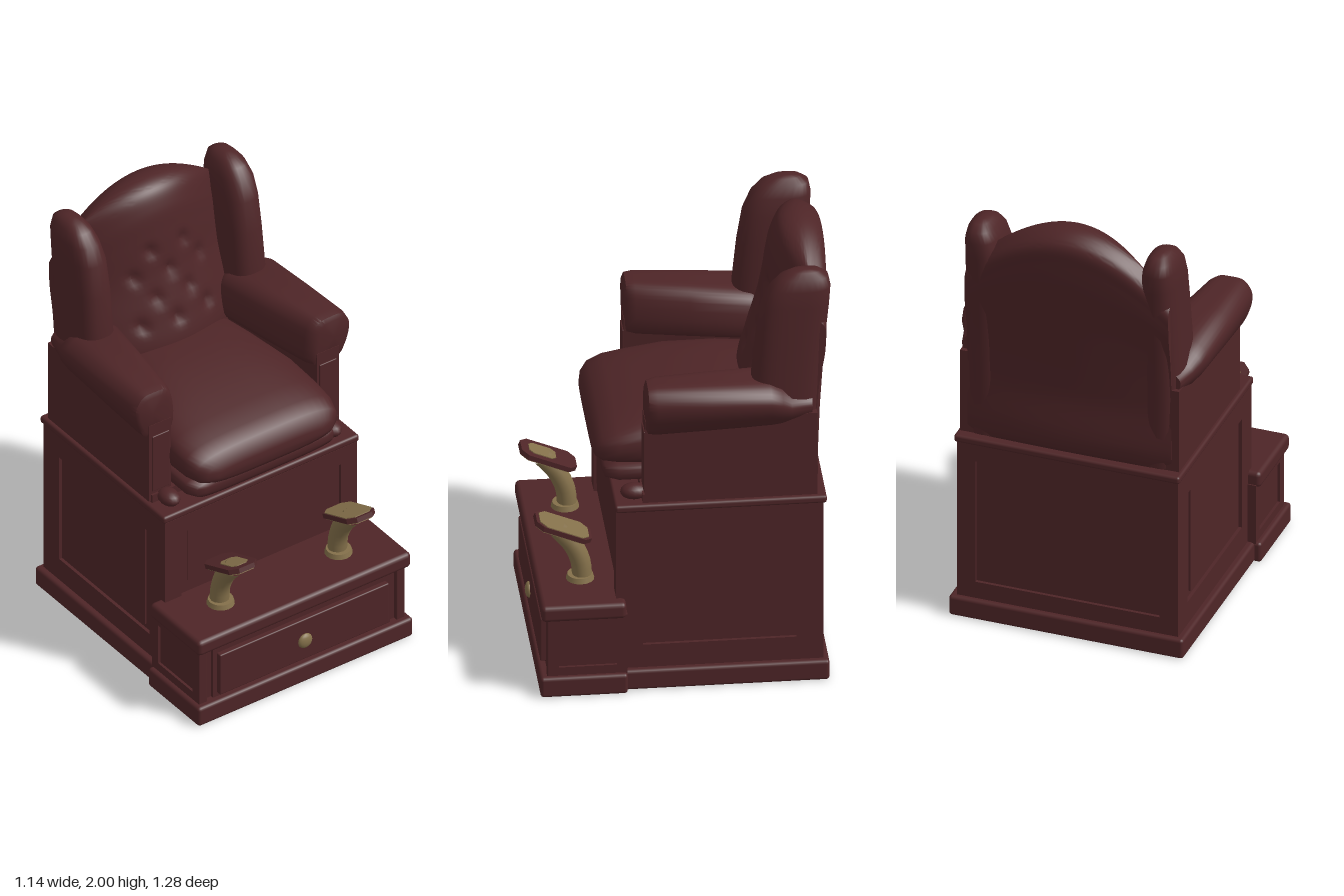
import * as THREE from 'three';
import { toCreasedNormals } from 'three/addons/utils/BufferGeometryUtils.js';
import { RoundedBoxGeometry } from 'three/addons/geometries/RoundedBoxGeometry.js';

const V = (x, y, z) => new THREE.Vector3(x, y, z);

// Closed solid through rings of equal point count, with fan caps and outward winding
function loft(rings, crease = 0.7) {
  const n = rings[0].length, pts = rings.flat(), idx = [];
  for (let i = 0; i < rings.length - 1; i++)
    for (let j = 0; j < n; j++) {
      const a = i * n + j, b = i * n + (j + 1) % n;
      idx.push(a, b, b + n, a, b + n, a + n);
    }
  const cap = (k, flip) => {
    const c = pts.length;
    pts.push(rings[k].reduce((s, p) => s.add(p), V(0, 0, 0)).divideScalar(n));
    for (let j = 0; j < n; j++) {
      const a = k * n + j, b = k * n + (j + 1) % n;
      idx.push(c, flip ? b : a, flip ? a : b);
    }
  };
  cap(0, true);
  cap(rings.length - 1, false);
  let volume = 0;
  for (let i = 0; i < idx.length; i += 3)
    volume += pts[idx[i]].dot(V(0, 0, 0).crossVectors(pts[idx[i + 1]], pts[idx[i + 2]]));
  if (volume < 0) idx.reverse();
  const g = new THREE.BufferGeometry().setFromPoints(pts);
  g.setIndex(idx);
  return toCreasedNormals(g, crease);
}

// Rounded-rectangle-like outline: returns [u, v] pairs in -1..1
function superellipse(count, power) {
  return Array.from({ length: count }, (_, i) => {
    const t = (i / count) * Math.PI * 2, f = (c) => Math.sign(c) * Math.abs(c) ** (2 / power);
    return [f(Math.cos(t)), f(Math.sin(t))];
  });
}

const smoothLoop = (pairs, count) =>
  new THREE.CatmullRomCurve3(pairs.map(([a, b]) => V(a, b, 0)), true, 'centripetal').getPoints(count).slice(0, -1);

export function createModel() {
  const model = new THREE.Group();
  model.name = 'footrestChair';
  const maroon = new THREE.MeshStandardMaterial({ color: 0x4e2527 });
  maroon.name = 'maroon';
  const brass = new THREE.MeshStandardMaterial({ color: 0x84704a });
  brass.name = 'brass';

  const add = (name, geo, mat = maroon, parent = model) => {
    const m = new THREE.Mesh(geo, mat);
    m.name = name;
    parent.add(m);
    return m;
  };
  // Box given by its min and max on each axis
  const block = (name, x0, x1, y0, y1, z0, z1, r = 0) => {
    const s = [x1 - x0, y1 - y0, z1 - z0];
    const g = r ? new RoundedBoxGeometry(...s, 2, r) : new THREE.BoxGeometry(...s);
    return add(name, g.translate((x0 + x1) / 2, (y0 + y1) / 2, (z0 + z1) / 2));
  };
  // Raised border around a recessed panel
  const frame = (name, w, h, b, pos, turn, depth = 0.015) => {
    const rect = (P, a, c) => new P([[-a, -c], [a, -c], [a, c], [-a, c]].map((p) => new THREE.Vector2(...p)));
    const shape = rect(THREE.Shape, w / 2, h / 2);
    shape.holes.push(rect(THREE.Path, w / 2 - b, h / 2 - b));
    const m = add(name, new THREE.ExtrudeGeometry(shape, { depth, bevelEnabled: false }));
    m.position.set(...pos);
    m.rotation.y = turn;
  };

  // Cabinet
  block('rearPlinth', -0.535, 0.535, 0, 0.095, -0.61, 0.3, 0.015);
  block('frontPlinth', -0.565, 0.565, 0, 0.095, 0.26, 0.635, 0.015);
  block('cabinet', -0.49, 0.49, 0.08, 0.87, -0.57, 0.29);
  block('cabinetTop', -0.515, 0.515, 0.86, 0.895, -0.6, 0.31, 0.012);
  frame('frontFrame', 1.01, 0.77, 0.085, [0, 0.475, 0.29], 0);
  frame('backFrame', 1.01, 0.77, 0.085, [0, 0.475, -0.57], Math.PI);
  for (const s of [-1, 1]) {
    frame('sideFrame', 0.89, 0.77, 0.115, [s * 0.49, 0.475, -0.14], s * Math.PI / 2);
    block('sidePanel', s * 0.495 - 0.004, s * 0.495 + 0.004, 0.23, 0.75, -0.42, 0.15);
  }
  block('frontPanel', -0.38, 0.38, 0.5, 0.8, 0.28, 0.296);

  // Step with drawer
  block('step', -0.53, 0.53, 0.08, 0.38, 0.26, 0.585);
  block('stepTop', -0.56, 0.56, 0.365, 0.44, 0.265, 0.63, 0.02);
  for (const s of [-1, 1]) {
    frame('stepSideFrame', 0.34, 0.29, 0.045, [s * 0.53, 0.235, 0.43], s * Math.PI / 2, 0.012);
    block('stepPost', s * 0.52 - 0.022, s * 0.52 + 0.022, 0.09, 0.37, 0.57, 0.605, 0.005);
  }
  block('drawerSurround', -0.465, 0.465, 0.095, 0.35, 0.57, 0.6);
  block('drawer', -0.445, 0.445, 0.115, 0.325, 0.59, 0.625, 0.006);
  const knob = add('drawerKnob', new THREE.SphereGeometry(0.036, 16, 10), brass);
  knob.scale.z = 0.5;
  knob.position.set(0, 0.215, 0.627);

  // Footrests
  for (const s of [-1, 1]) {
    const rest = new THREE.Group();
    rest.name = s > 0 ? 'leftFootrest' : 'rightFootrest';
    rest.position.x = s * 0.31;
    model.add(rest);
    const flange = add('flange', new THREE.CylinderGeometry(0.055, 0.062, 0.025, 16), brass, rest);
    flange.position.set(0, 0.45, 0.44);
    const path = new THREE.CatmullRomCurve3([V(0, 0.44, 0.43), V(0, 0.53, 0.44), V(0, 0.61, 0.475), V(0, 0.69, 0.54)]);
    add('post', new THREE.TubeGeometry(path, 10, 0.043, 12), brass, rest);
    const pad = new THREE.Group();
    pad.name = 'pad';
    pad.position.set(0, 0.69, 0.515);
    pad.rotation.x = -0.39;
    rest.add(pad);
    // Chamfered plate, layered from thin slabs
    const plate = (name, w, l, y, t, mat, z = 0) => {
      const c = w * 0.45;
      const shape = new THREE.Shape([[w - c, -l], [w, c - l], [w, l - c], [w - c, l], [c - w, l], [-w, l - c], [-w, c - l], [c - w, -l]]
        .map((p) => new THREE.Vector2(...p)));
      const g = new THREE.ExtrudeGeometry(shape, { depth: t, bevelEnabled: false });
      add(name, g.rotateX(-Math.PI / 2).translate(0, y, z), mat, pad);
    };
    plate('sole', 0.073, 0.128, -0.01, 0.022, maroon);
    plate('underPlate', 0.066, 0.12, -0.016, 0.006, brass);
    if (s > 0) plate('treadPlate', 0.069, 0.113, 0.012, 0.004, brass);
    else plate('treadPlate', 0.043, 0.062, 0.012, 0.004, brass, 0.03);
  }

  // Seat: base, lower lip and domed cushion, sections [z, halfWidth, bottom, top]
  block('seatBase', -0.49, 0.49, 0.89, 0.935, -0.55, 0.19);
  const cushion = (name, sections, power) => {
    const outline = superellipse(40, power);
    add(name, loft(sections.map(([z, w, b, t]) =>
      outline.map(([u, v]) => V(u * w, (b + t) / 2 + v * (t - b) / 2, z))), 1));
  };
  cushion('seatLip', [[0.345, 0.32, 0.955, 1.0], [0.335, 0.36, 0.935, 1.02], [0.28, 0.385, 0.925, 1.03],
    [0.1, 0.385, 0.925, 1.03], [-0.4, 0.3, 0.925, 1.03]], 4);
  cushion('seatCushion', [[0.385, 0.28, 1.035, 1.09], [0.375, 0.33, 1.015, 1.125], [0.345, 0.37, 1.0, 1.16], [0.28, 0.39, 0.99, 1.19],
    [0.18, 0.392, 0.98, 1.215], [0.02, 0.38, 0.98, 1.25], [-0.2, 0.33, 0.98, 1.28], [-0.42, 0.3, 0.98, 1.27]], 3.2);

  // Backrest: side profile [z, y] swept across the width, with tufted dents
  const profile = smoothLoop([[-0.57, 0.9], [-0.585, 1.2], [-0.605, 1.5], [-0.63, 1.85], [-0.625, 1.95], [-0.575, 1.99], [-0.51, 2.0],
    [-0.45, 1.975], [-0.41, 1.9], [-0.385, 1.78], [-0.355, 1.6], [-0.3, 1.4], [-0.265, 1.25], [-0.28, 1.1], [-0.3, 0.9]], 110);
  const tufts = [];
  for (let row = 0; row < 4; row++)
    for (let k = -2; k <= 2; k++) if ((row + k) % 2 === 0) tufts.push([k * 0.085, 1.38 + row * 0.11]);
  const backRings = [];
  for (let i = 0; i <= 48; i++) {
    const x = -0.465 + 0.93 * i / 48;
    backRings.push(profile.map(({ x: z, y }) => {
      const front = THREE.MathUtils.smoothstep(z, -0.6, -0.4);
      const ny = y - 1.15 * x * x * THREE.MathUtils.smoothstep(y, 1.3, 1.95);
      let nz = z - front * Math.min(0.12, 0.9 * x * x) + (1 - front) * 0.14 * x * x;
      if (front > 0.5)
        for (const [tx, ty] of tufts) nz -= 0.022 * Math.exp(-((x - tx) ** 2 + (ny - ty) ** 2) / 0.0007);
      return V(x, ny, nz);
    }));
  }
  add('backrest', loft(backRings, 0.8));

  for (const s of [-1, 1]) {
    // Wing: sections [y, centreX, halfWidth, backZ, frontZ]
    const oval = superellipse(28, 2.7);
    const wing = [[0.9, 0.4, 0.095, -0.565, -0.3], [1.3, 0.4, 0.095, -0.58, -0.285], [1.45, 0.4, 0.092, -0.59, -0.285],
      [1.65, 0.398, 0.088, -0.605, -0.305], [1.8, 0.4, 0.083, -0.62, -0.33], [1.88, 0.405, 0.074, -0.625, -0.365],
      [1.93, 0.407, 0.058, -0.615, -0.41], [1.955, 0.407, 0.035, -0.58, -0.46], [1.962, 0.407, 0.012, -0.54, -0.5]];
    add('wing', loft(wing.map(([y, cx, w, b, f]) =>
      oval.map(([u, v]) => V(s * (cx + u * w), y, (b + f) / 2 + v * (f - b) / 2))), 1));

    // Arm side panel, widening inward toward the back
    const panel = [[0.18, 0.385], [-0.05, 0.35], [-0.35, 0.29], [-0.56, 0.29]].map(([z, inner]) =>
      [[inner, 0.9], [0.5, 0.9], [0.5, 1.3], [inner, 1.3]].map(([x, y]) => V(s * x, y, z)));
    add('armPanel', loft(panel, 0.5));

    // Rolled armrest: sections [z, inner, outer, bottom, top]
    const roll = smoothLoop([[0, 0], [0, 0.75], [0.16, 0.96], [0.45, 1], [0.78, 0.97], [0.97, 0.75],
      [0.98, 0.5], [0.86, 0.18], [0.72, 0], [0.4, -0.02]], 40);
    const arm = [[0.178, 0.4, 0.545, 1.265, 1.44], [0.168, 0.375, 0.563, 1.245, 1.46], [0.13, 0.36, 0.57, 1.24, 1.467],
      [-0.1, 0.315, 0.57, 1.24, 1.458], [-0.36, 0.27, 0.563, 1.24, 1.445], [-0.41, 0.28, 0.55, 1.24, 1.425],
      [-0.45, 0.3, 0.525, 1.24, 1.385], [-0.54, 0.32, 0.5, 1.25, 1.375]];
    add('armrest', loft(arm.map(([z, a, o, b, t]) =>
      roll.map((p) => V(s * (a + p.x * (o - a)), b + p.y * (t - b), z))), 0.9));

    // Piping on the arm front and small scroll foot
    block('armFrontTrim', s * 0.44 - 0.045, s * 0.44 + 0.045, 0.95, 1.24, 0.175, 0.186, 0.004);
    const foot = add('scrollFoot', new THREE.SphereGeometry(1, 16, 10));
    foot.scale.set(0.045, 0.035, 0.06);
    foot.position.set(s * 0.425, 0.92, 0.22);
  }
  return model;
}
